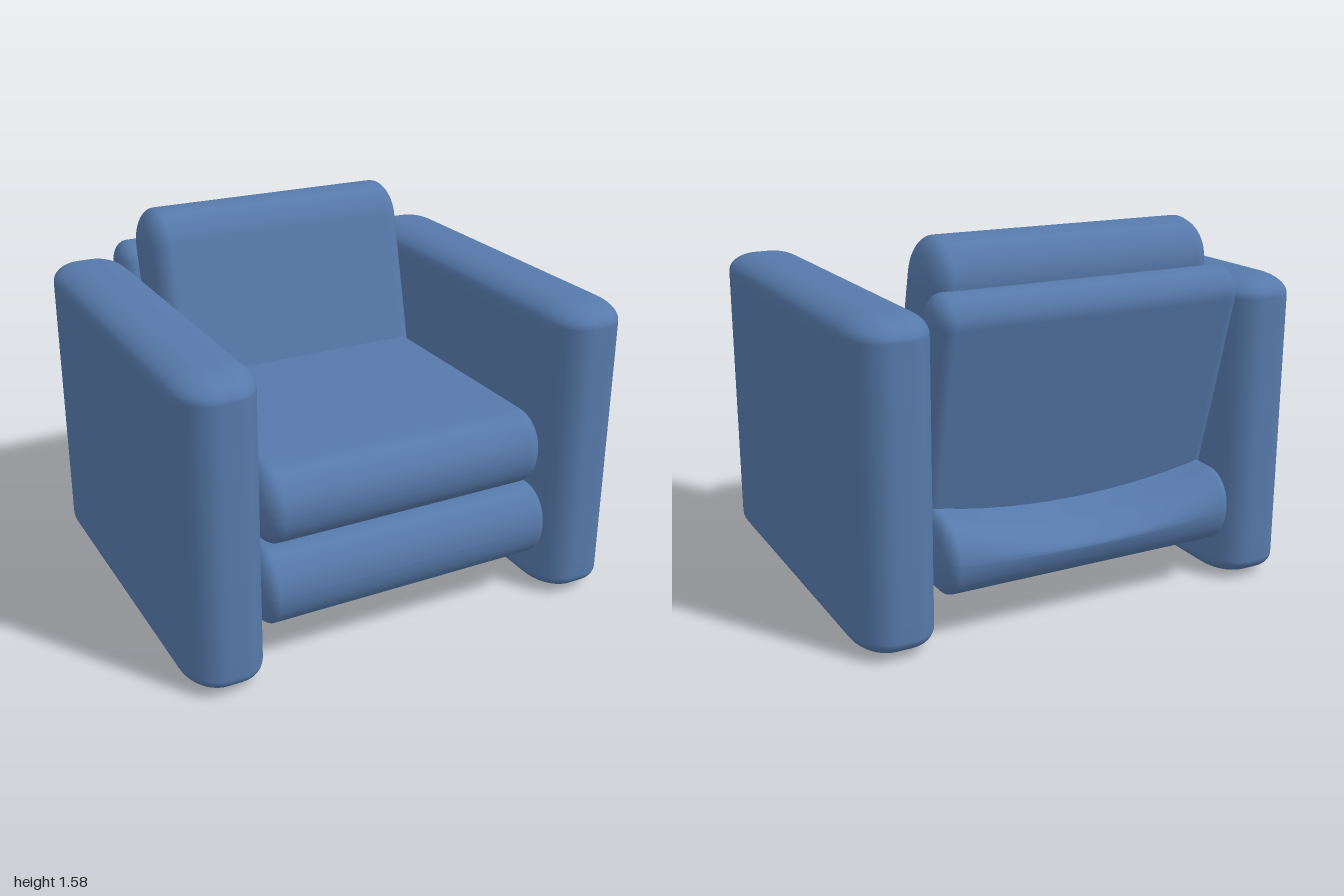
import * as THREE from 'three';
import { mergeVertices } from 'three/addons/utils/BufferGeometryUtils.js';

// Padded block: size and edge radius are given per axis; warp may then move each point.
function softBox(size, radius, warp) {
  const n = 24;
  const geo = new THREE.BoxGeometry(2, 2, 2, n, n, n);
  geo.deleteAttribute('uv');
  geo.deleteAttribute('normal');
  const pos = geo.attributes.position;
  const p = new THREE.Vector3();
  const dir = new THREE.Vector3();
  for (let i = 0; i < pos.count; i++) {
    p.fromBufferAttribute(pos, i);
    for (let a = 0; a < 3; a++) {
      const u = p.getComponent(a);
      // inner half of the grid is the flat face, outer half is the rounded edge
      const edge = Math.max(0, Math.abs(u) - 0.5) * 2;
      dir.setComponent(a, Math.sign(u) * Math.tan(edge * Math.PI / 4));
      const inner = size[a] / 2 - radius[a];
      p.setComponent(a, THREE.MathUtils.clamp(u * 2, -1, 1) * inner);
    }
    dir.normalize();
    p.set(p.x + dir.x * radius[0], p.y + dir.y * radius[1], p.z + dir.z * radius[2]);
    if (warp) warp(p);
    pos.setXYZ(i, p.x, p.y, p.z);
  }
  const merged = mergeVertices(geo, 1e-5);
  merged.computeVertexNormals();
  return merged;
}

export function createModel() {
  const group = new THREE.Group();
  group.name = 'armchair';
  const fabric = new THREE.MeshStandardMaterial({ color: 0x5679aa });
  fabric.name = 'blueFabric';

  const add = (name, geo, x, y, z, tilt = 0) => {
    const mesh = new THREE.Mesh(geo, fabric);
    mesh.name = name;
    mesh.position.set(x, y, z);
    mesh.rotation.x = tilt;
    group.add(mesh);
  };
  const smooth = THREE.MathUtils.smoothstep;

  // Slab arms reaching the floor
  const arm = softBox([0.345, 1.34, 1.74], [0.14, 0.085, 0.2]);
  add('leftArm', arm, 0.827, 0.675, 0.01);
  add('rightArm', arm, -0.827, 0.675, 0.01);

  // Base cushion, its rear top edge pressed down in the middle by the back
  const base = softBox([1.37, 0.335, 1.725], [0.07, 0.165, 0.14], (p) => {
    const rear = 1 - smooth(p.z, -0.8, -0.35);
    const middle = Math.max(0, 1 - (p.x / 0.66) ** 2);
    p.y -= 0.12 * rear * middle * smooth(p.y, -0.08, 0.16);
  });
  add('baseCushion', base, -0.005, 0.367, -0.017);

  // Seat cushion with faint puckers along its front top edge
  const seat = softBox([1.325, 0.34, 1.4], [0.09, 0.165, 0.15], (p) => {
    const front = smooth(p.z, 0.45, 0.6) * smooth(p.y, 0, 0.14);
    const inside = 1 - smooth(Math.abs(p.x), 0.5, 0.64);
    p.y -= 0.008 * front * inside * (1 + Math.sin(p.x * 31) * Math.cos(p.x * 9));
  });
  add('seatCushion', seat, -0.007, 0.71, 0.12);

  // Leaning back panel and the thicker cushion in front of it
  add('backPanel', softBox([1.37, 1.15, 0.21], [0.07, 0.1, 0.1]), -0.005, 0.84, -0.635, -0.25);
  add('backCushion', softBox([1.275, 1.0, 0.33], [0.09, 0.17, 0.15]), 0.012, 1.093, -0.496, -0.245);

  return group;
}
